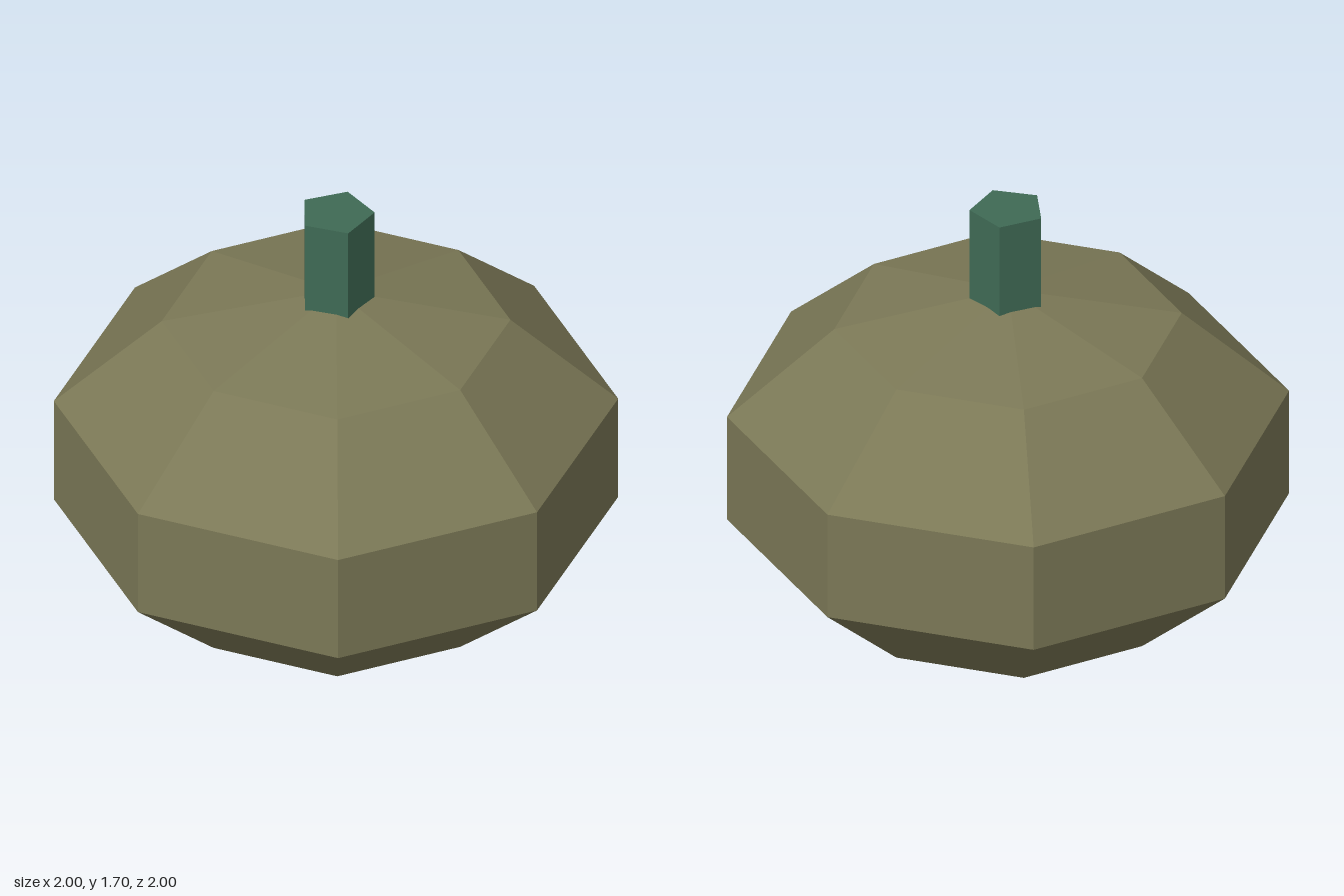
import * as THREE from 'three';

const flatMaterial = (name, color) => {
  const material = new THREE.MeshStandardMaterial({ color });
  material.name = name;
  material.flatShading = true;
  return material;
};

export function createModel() {
  const group = new THREE.Group();
  group.name = 'gourd';
  const olive = flatMaterial('olive skin', 0x7b7856);
  const green = flatMaterial('stem green', 0x3f6a55);

  // Squashed eight-sided body, widest ring at radius 1
  const radius = 1 / Math.sin(Math.PI * 0.4);
  const bodyGeometry = new THREE.SphereGeometry(radius, 8, 5);
  bodyGeometry.scale(1, 0.683 / radius, 1);
  const body = new THREE.Mesh(bodyGeometry, olive);
  body.name = 'body';
  body.position.y = 0.683;
  group.add(body);

  // Five-sided stem with one corner towards +x, sunk into the top
  const stemGeometry = new THREE.CylinderGeometry(0.137, 0.137, 0.4, 5);
  stemGeometry.rotateY(Math.PI / 2);
  const stem = new THREE.Mesh(stemGeometry, green);
  stem.name = 'stem';
  stem.position.y = 1.5;
  group.add(stem);

  return group;
}
